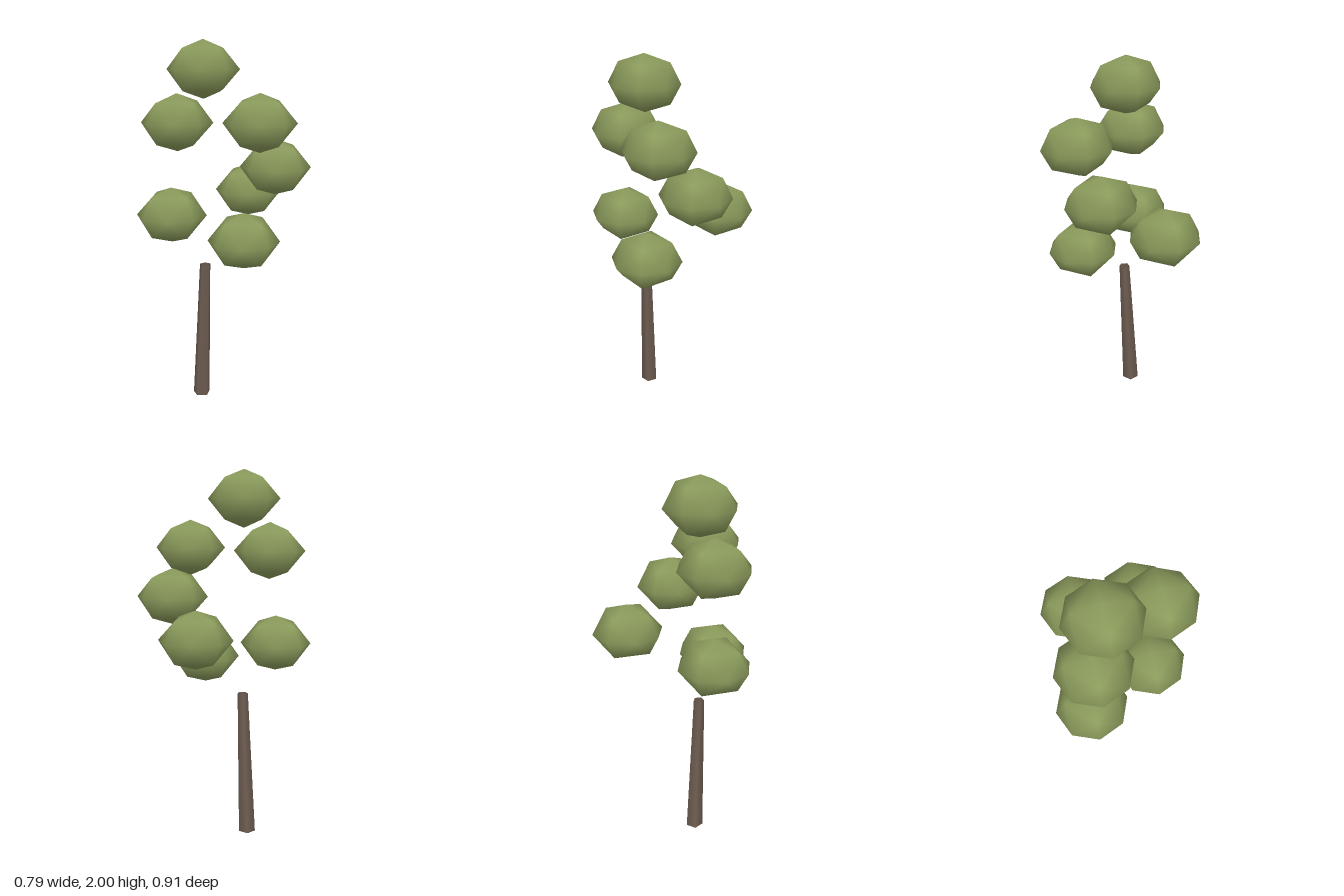
import * as THREE from 'three';

export function createModel() {
  const model = new THREE.Group();
  model.name = 'tree';

  const bark = new THREE.MeshStandardMaterial({ color: 0x6f5e52, side: THREE.DoubleSide });
  bark.name = 'bark brown';
  const leaf = new THREE.MeshStandardMaterial({ color: 0x8a9a5b });
  leaf.name = 'leaf green';

  // Trunk: open five-sided tapered tube that leans towards +x, with level ends
  const height = 0.8, lean = 0.045;
  const trunkGeo = new THREE.CylinderGeometry(0.03, 0.048, height, 5, 1, true, Math.PI / 2);
  trunkGeo.translate(0, height / 2, 0);
  const shear = new THREE.Matrix4().makeShear(0, 0, lean / height, 0, 0, 0);
  trunkGeo.applyMatrix4(shear);
  const trunk = new THREE.Mesh(trunkGeo, bark);
  trunk.name = 'trunk';
  trunk.position.set(-0.142, 0, 0.124);
  model.add(trunk);

  // Foliage: identical smooth, slightly flattened clumps floating round the crown
  const clumpGeo = new THREE.OctahedronGeometry(0.19, 1);
  clumpGeo.scale(1, 0.15 / 0.19, 1);
  const foliage = new THREE.Group();
  foliage.name = 'foliage';
  const centres = [
    [-0.097, 1.85, 0.123],
    [-0.173, 1.58, 0.24],
    [0.203, 1.59, 0.002],
    [0.138, 1.34, -0.175],
    [-0.173, 1.156, -0.266],
    [-0.206, 1.083, 0.264],
    [0.164, 0.98, 0.074],
  ];
  centres.forEach((c, i) => {
    const clump = new THREE.Mesh(clumpGeo, leaf);
    clump.name = `leafClump${i + 1}`;
    clump.position.set(...c);
    foliage.add(clump);
  });
  model.add(foliage);

  return model;
}
